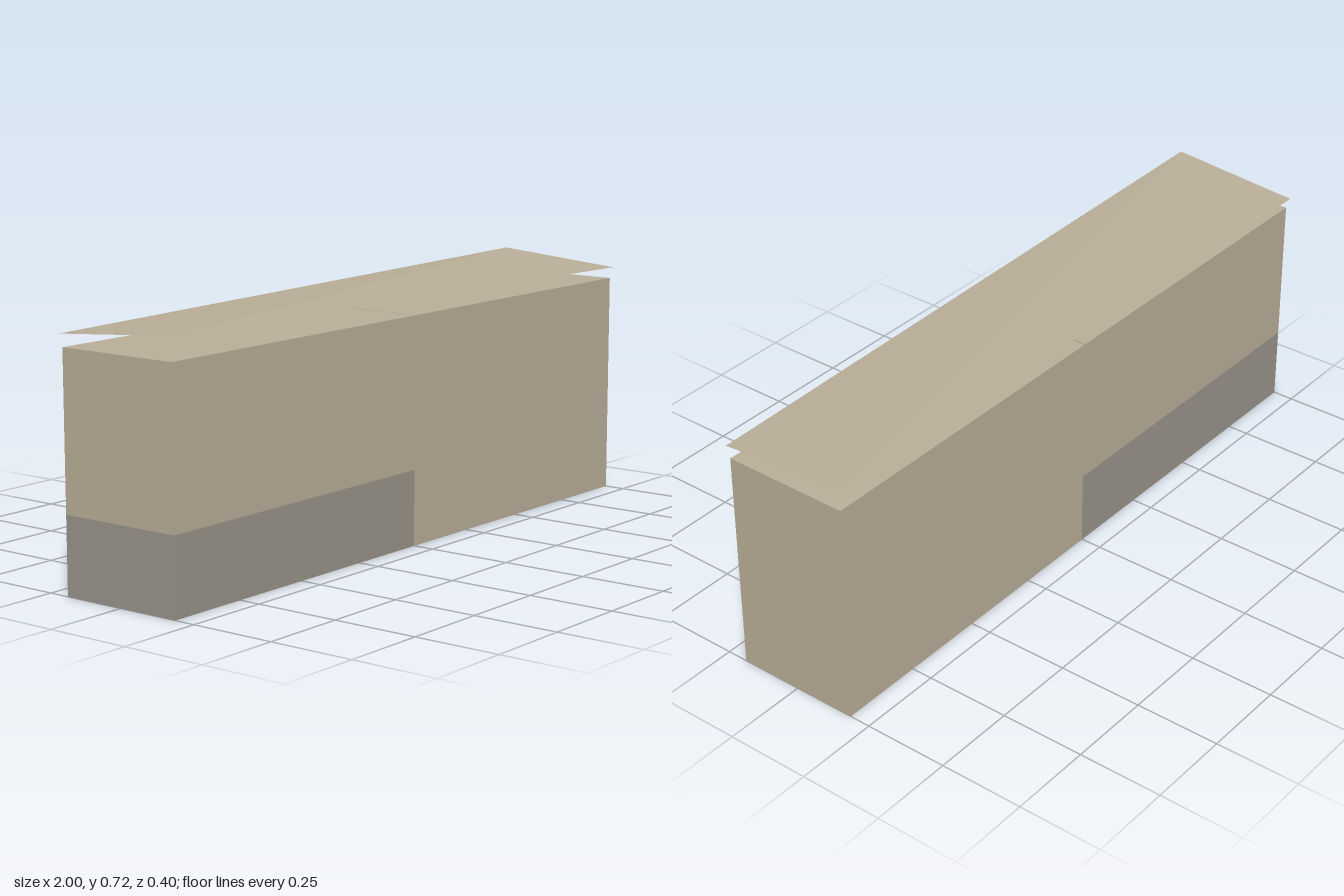
import * as THREE from 'three';

const COURSE = 0.2187; // height of one course of blocks
const DEPTH = 0.375;
const GAP = 0.004; // open joint between neighbouring blocks

export function createModel() {
  const group = new THREE.Group();
  group.name = 'blockWall';

  const sandstone = new THREE.MeshStandardMaterial({ color: 0xb9ad97 });
  sandstone.name = 'sandstone';
  const greyStone = new THREE.MeshStandardMaterial({ color: 0x99938a });
  greyStone.name = 'grey stone';
  const capStone = new THREE.MeshStandardMaterial({ color: 0xb9ad97, side: THREE.DoubleSide });
  capStone.name = 'cap sandstone';

  // Three courses in running bond: two, three and two blocks
  [2, 3, 2].forEach((count, row) => {
    const pitch = (2 + GAP) / count;
    for (let i = 0; i < count; i++) {
      const grey = row === 0 && i === 0;
      const block = new THREE.Mesh(
        new THREE.BoxGeometry(pitch - GAP, COURSE, DEPTH),
        grey ? greyStone : sandstone
      );
      block.name = grey ? 'greyBlock' : `block${row + 1}_${i + 1}`;
      block.position.set(-1 + (pitch - GAP) / 2 + i * pitch, (row + 0.5) * COURSE, 0);
      group.add(block);
    }
  });

  // Thin cap sheet floating above, folded along one diagonal
  const high = 0.722, low = 0.69;
  const frontLeft = [-1, high, 0.2], frontRight = [1, low, 0.2];
  const backRight = [1, high, -0.2], backLeft = [-1, low, -0.2];
  const capGeometry = new THREE.BufferGeometry();
  capGeometry.setAttribute('position', new THREE.Float32BufferAttribute([
    ...frontLeft, ...frontRight, ...backRight,
    ...frontLeft, ...backRight, ...backLeft,
  ], 3));
  capGeometry.computeVertexNormals();
  const cap = new THREE.Mesh(capGeometry, capStone);
  cap.name = 'cap';
  group.add(cap);

  return group;
}
